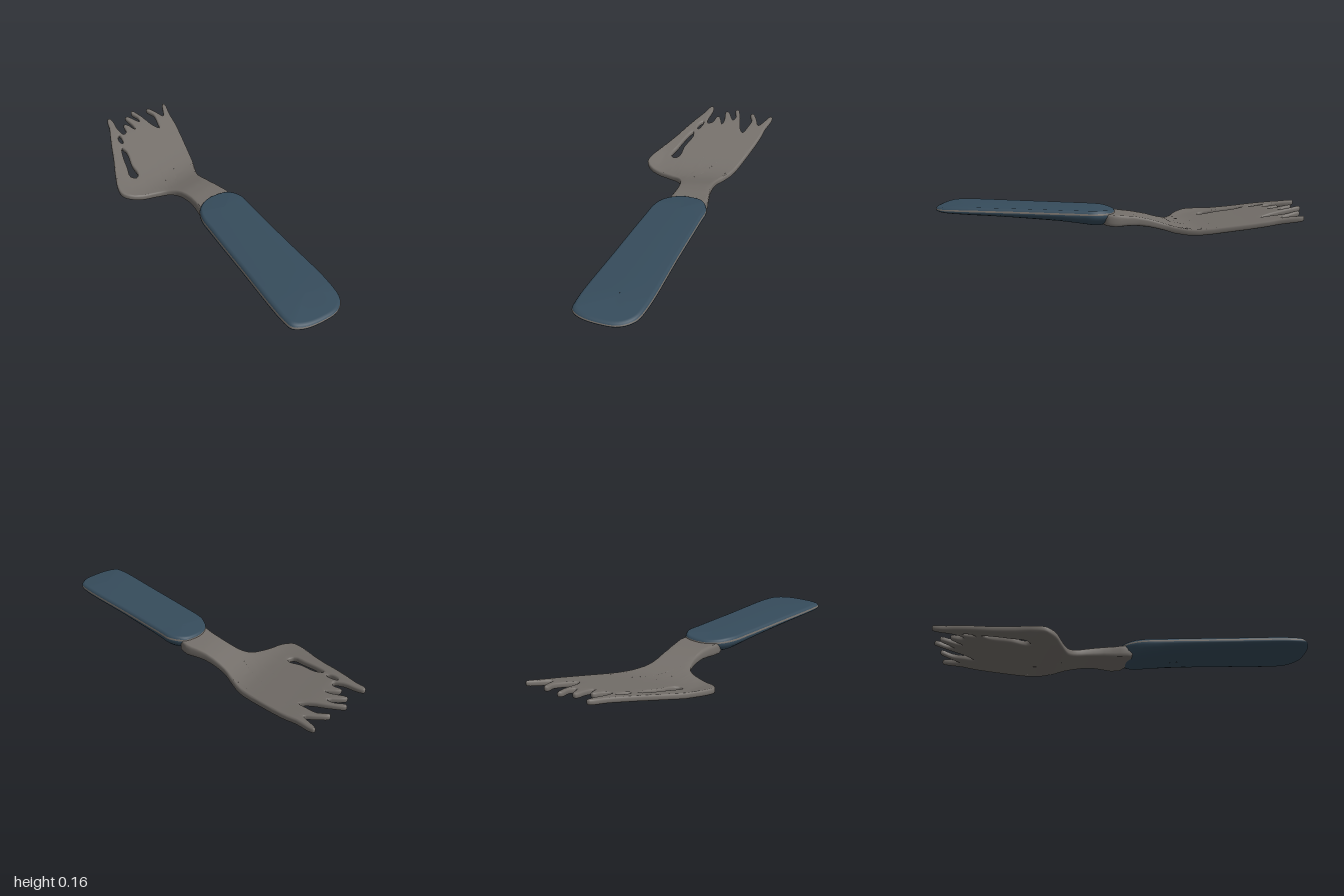
import * as THREE from 'three';
import { mergeVertices } from 'three/addons/utils/BufferGeometryUtils.js';

const steel = new THREE.MeshStandardMaterial({ name: 'warm grey metal', color: 0x75706b });
const blue = new THREE.MeshStandardMaterial({ name: 'slate blue grip', color: 0x364c5c });

// Piecewise linear lookup in a list of [x, value]
function lookup(table, x) {
  if (x <= table[0][0]) return table[0][1];
  for (let i = 1; i < table.length; i++) {
    const [x0, v0] = table[i - 1], [x1, v1] = table[i];
    if (x <= x1) return v0 + (v1 - v0) * (x - x0) / (x1 - x0);
  }
  return table[table.length - 1][1];
}

// Smooth closed outline through [x, z] points
function smoothLoop(points, steps) {
  const curve = new THREE.CatmullRomCurve3(points.map(([x, z]) => new THREE.Vector3(x, -z, 0)), true, 'centripetal');
  return curve.getPoints(points.length * steps).slice(0, -1).map(p => new THREE.Vector2(p.x, p.y));
}

// Halve long triangle edges so that a flat plate can be bent smoothly
function subdivide(geometry, maxLength) {
  const src = geometry.index ? geometry.toNonIndexed() : geometry;
  const pos = src.getAttribute('position');
  const stack = [], out = [];
  for (let i = 0; i < pos.count; i += 3) {
    stack.push([0, 1, 2].map(k => new THREE.Vector3().fromBufferAttribute(pos, i + k)));
  }
  while (stack.length) {
    const t = stack.pop();
    const len = [0, 1, 2].map(k => t[k].distanceTo(t[(k + 1) % 3]));
    const k = len.indexOf(Math.max(...len));
    if (len[k] <= maxLength) {
      t.forEach(p => out.push(p.x, p.y, p.z));
      continue;
    }
    const a = t[k], b = t[(k + 1) % 3], c = t[(k + 2) % 3];
    const m = a.clone().add(b).multiplyScalar(0.5);
    stack.push([a, m, c], [m, b, c]);
  }
  const g = new THREE.BufferGeometry();
  g.setAttribute('position', new THREE.Float32BufferAttribute(out, 3));
  return g;
}

// Fork head and neck: a pierced plate, bent along its length
function forkHead() {
  const shape = new THREE.Shape(smoothLoop([
    // back edge, from neck to first tine
    [0.05, -0.08], [-0.13, -0.11], [-0.26, -0.14], [-0.33, -0.185], [-0.4, -0.235], [-0.5, -0.29],
    [-0.72, -0.4], [-0.8, -0.43], [-0.9, -0.477], [-0.91, -0.465], [-0.85, -0.415],
    // ragged tines
    [-0.82, -0.385], [-0.87, -0.375], [-0.93, -0.355], [-0.925, -0.335], [-0.865, -0.343], [-0.8, -0.315],
    [-0.75, -0.285], [-0.8, -0.268], [-0.89, -0.268], [-0.972, -0.255], [-0.96, -0.235], [-0.9, -0.24],
    [-0.865, -0.22], [-0.945, -0.193], [-0.945, -0.172], [-0.865, -0.165], [-0.825, -0.15],
    [-0.89, -0.135], [-0.895, -0.115], [-0.84, -0.09], [-0.83, -0.06], [-0.88, -0.06],
    // long front tine and its outer edge
    [-0.96, -0.088], [-0.995, -0.09], [-0.995, -0.07], [-0.93, -0.03], [-0.87, 0.015], [-0.78, 0.08],
    [-0.7, 0.135], [-0.6, 0.21], [-0.5, 0.275], [-0.45, 0.29], [-0.4, 0.265], [-0.36, 0.21],
    [-0.32, 0.14], [-0.28, 0.09], [-0.22, 0.07], [-0.12, 0.08], [-0.05, 0.1], [0.05, 0.13],
  ], 3));
  // slots beside the front tine
  shape.holes = [
    [[-0.745, 0.03], [-0.7, 0.03], [-0.6, 0.08], [-0.525, 0.1], [-0.505, 0.13], [-0.53, 0.15], [-0.6, 0.115], [-0.68, 0.075]],
    [[-0.84, -0.033], [-0.8, -0.022], [-0.77, 0], [-0.79, 0.006], [-0.83, -0.015]],
  ].map(h => new THREE.Path(smoothLoop(h, 3)));

  const flat = new THREE.ExtrudeGeometry(shape, {
    depth: 0.012, bevelEnabled: true, bevelThickness: 0.01, bevelSize: 0.008, bevelOffset: -0.008, bevelSegments: 2,
  });
  flat.translate(0, 0, -0.006);
  flat.rotateX(-Math.PI / 2);
  const g = subdivide(flat, 0.05);

  const centre = [[-1, 0.148], [-0.9, 0.13], [-0.8, 0.108], [-0.7, 0.083], [-0.6, 0.06], [-0.5, 0.037], [-0.43, 0.023],
    [-0.37, 0.018], [-0.31, 0.023], [-0.25, 0.038], [-0.18, 0.055], [-0.1, 0.065], [0, 0.065], [0.1, 0.07]];
  const thickness = [[-1, 0.85], [-0.4, 1.05], [-0.25, 1.2], [-0.1, 1.6], [0, 2]];
  const p = g.getAttribute('position');
  for (let i = 0; i < p.count; i++) {
    const x = p.getX(i);
    const lift = 0.15 * Math.max(0, p.getZ(i) - 0.2);
    p.setY(i, lookup(centre, x) + p.getY(i) * lookup(thickness, x) + lift);
  }
  const smooth = mergeVertices(g, 1e-5);
  smooth.computeVertexNormals();
  const mesh = new THREE.Mesh(smooth, steel);
  mesh.name = 'forkHead';
  return mesh;
}

// Handle: rings of the outline drawn in towards a spine, flat above and bellied below
function handle() {
  const loop = smoothLoop([
    [-0.01, 0.055], [0, -0.02], [0.03, -0.075], [0.11, -0.1], [0.2, -0.075], [0.5, 0.015], [0.88, 0.127],
    [0.96, 0.17], [0.995, 0.24], [0.985, 0.33], [0.95, 0.425], [0.91, 0.465], [0.86, 0.462],
    [0.5, 0.34], [0.2, 0.235], [0.085, 0.19], [0.02, 0.135],
  ], 5).map(p => new THREE.Vector3(p.x, 0, -p.y));
  const spine = new THREE.Line3(new THREE.Vector3(0.12, 0, 0.045), new THREE.Vector3(0.83, 0, 0.27));
  const top = [[0, 0.114], [0.06, 0.12], [0.8, 0.12], [0.9, 0.116], [1, 0.107]];
  const bottom = [[0, 0.028], [0.08, 0.022], [0.3, 0.045], [0.6, 0.06], [1, 0.072]];
  const mid = 0.09;
  // [share of width, height from -1 at the belly to 1 at the top]
  const profile = [[0, -1], [0.35, -0.96], [0.6, -0.83], [0.8, -0.62], [0.93, -0.36], [0.99, -0.1],
    [1, 0.2], [0.985, 0.52], [0.95, 0.85], [0.88, 1], [0, 1]];

  const verts = [], index = [], n = loop.length;
  const foot = new THREE.Vector3();
  for (const [s, h] of profile) {
    for (const p of loop) {
      spine.closestPointToPoint(p, true, foot);
      const q = foot.clone().lerp(p, s);
      const y = h < 0 ? mid + h * (mid - lookup(bottom, q.x)) : mid + h * (lookup(top, q.x) - mid);
      verts.push(q.x, y, q.z);
    }
  }
  for (let i = 0; i < profile.length - 1; i++) {
    for (let j = 0; j < n; j++) {
      const k = (j + 1) % n;
      const a = i * n + j, b = i * n + k, c = b + n, d = a + n;
      index.push(a, c, b, a, d, c);
    }
  }
  const g = new THREE.BufferGeometry();
  g.setAttribute('position', new THREE.Float32BufferAttribute(verts, 3));
  g.setIndex(index);
  g.computeVertexNormals();
  // metal seam between the lower and upper grip
  const ring = n * 6;
  g.addGroup(0, ring * 6, 0);
  g.addGroup(ring * 6, ring, 1);
  g.addGroup(ring * 7, ring * 3, 0);
  const mesh = new THREE.Mesh(g, [blue, steel]);
  mesh.name = 'handle';
  return mesh;
}

export function createModel() {
  const model = new THREE.Group();
  model.name = 'handFork';
  model.add(forkHead(), handle());
  return model;
}
